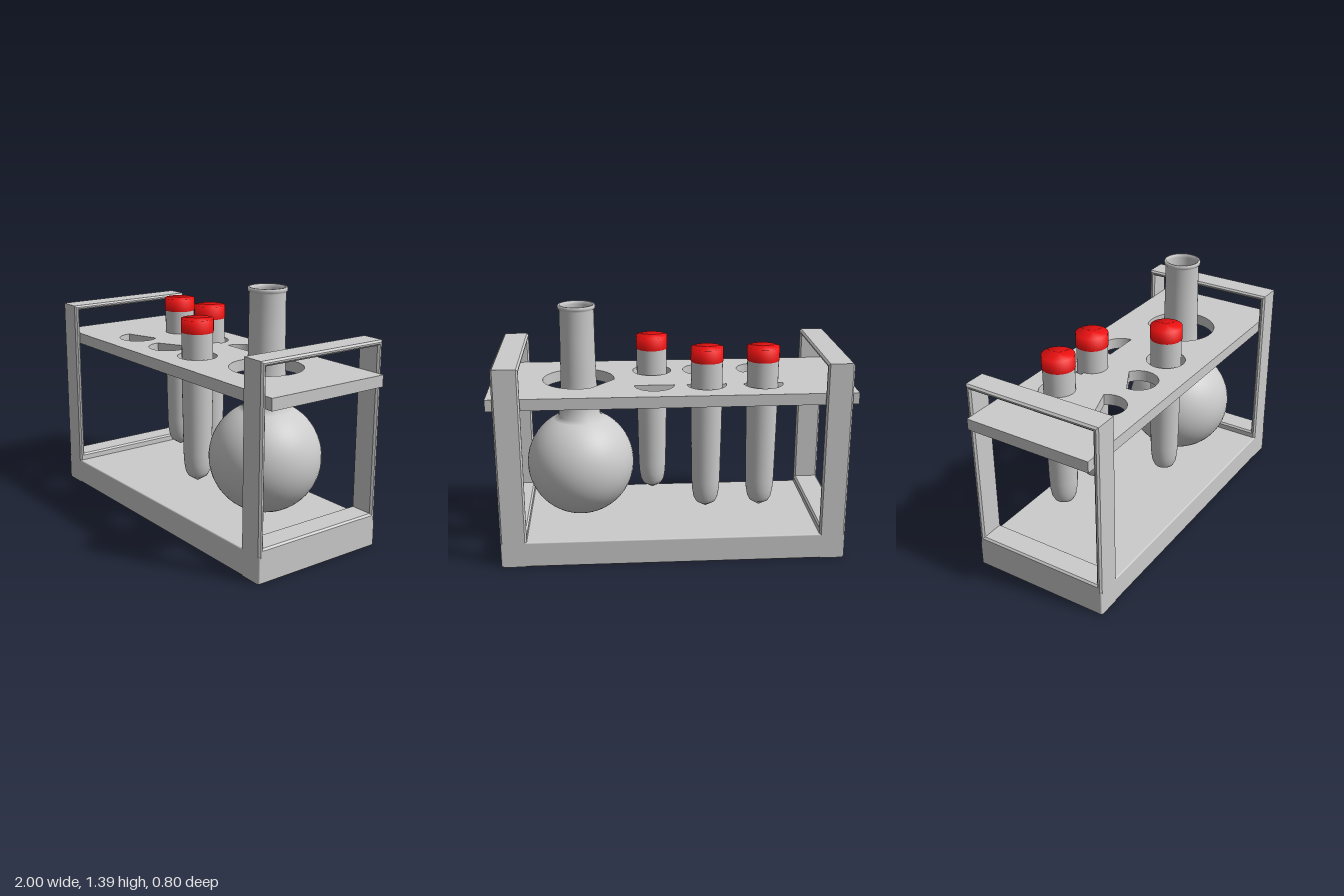
import * as THREE from 'three';
import { RoundedBoxGeometry } from 'three/addons/geometries/RoundedBoxGeometry.js';

const grey = new THREE.MeshStandardMaterial({ color: 0xcccccc });
const glass = new THREE.MeshStandardMaterial({ color: 0xcccccc, side: THREE.DoubleSide });
const red = new THREE.MeshStandardMaterial({ color: 0xee1111 });

function add(parent, name, geometry, material, x = 0, y = 0, z = 0) {
  const mesh = new THREE.Mesh(geometry, material);
  mesh.name = name;
  mesh.position.set(x, y, z);
  parent.add(mesh);
  return mesh;
}

function rectangle(Type, x0, y0, x1, y1) {
  const p = new Type();
  p.moveTo(x0, y0);
  p.lineTo(x1, y0);
  p.lineTo(x1, y1);
  p.lineTo(x0, y1);
  p.closePath();
  return p;
}

const lathe = (points, segments = 32) =>
  new THREE.LatheGeometry(points.map(([r, y]) => new THREE.Vector2(r, y)), segments);

// Bevelled rectangular frame at one end, its opening facing sideways
function endFrameGeometry() {
  const shape = rectangle(THREE.Shape, -0.4, 0, 0.4, 1.135);
  shape.holes.push(rectangle(THREE.Path, -0.37, 0.187, 0.37, 1.107));
  const geo = new THREE.ExtrudeGeometry(shape, {
    depth: 0.125, bevelThickness: 0.01, bevelSize: 0.01, bevelOffset: -0.01, bevelSegments: 1,
  });
  return geo.translate(0, 0, -0.0625).rotateY(Math.PI / 2);
}

// Shelf with part-circle openings: [x, z, radius, start angle, end angle]
function shelfGeometry() {
  const shape = rectangle(THREE.Shape, -1, -0.37, 1, 0.37);
  const openings = [
    [-0.51, -0.155, 0.11, 0, 180],
    [-0.195, -0.155, 0.11, 0, 180],
    [0.095, -0.155, 0.11, 0, 180],
    [-0.51, 0.145, 0.11, 177, 400],
    [-0.195, 0.145, 0.11, 177, 420],
    [0.095, 0.145, 0.11, 0, 360],
    [0.515, 0, 0.2, 172, 470],
  ];
  for (const [x, z, r, a, b] of openings) {
    const hole = new THREE.Path();
    hole.absarc(x, -z, r, THREE.MathUtils.degToRad(a), THREE.MathUtils.degToRad(b), false);
    hole.closePath();
    shape.holes.push(hole);
  }
  const geo = new THREE.ExtrudeGeometry(shape, { depth: 0.064, bevelEnabled: false, curveSegments: 24 });
  return geo.rotateX(-Math.PI / 2);
}

// Round-bottomed flask: bulb, flared neck, lip and inner wall
function flaskGeometry() {
  const points = [[0, 0.165]];
  const bulb = (r, from, to) => {
    for (let i = 0; i <= 24; i++) {
      const a = from + ((to - from) * i) / 24;
      points.push([r * Math.sin(a), 0.47 - r * Math.cos(a)]);
    }
  };
  bulb(0.305, 0.12, Math.PI - 0.4);
  points.push([0.112, 0.82], [0.104, 0.9], [0.1, 0.98], [0.097, 1.18], [0.096, 1.362]);
  points.push([0.104, 1.37], [0.105, 1.382], [0.101, 1.39], [0.092, 1.39], [0.087, 1.37]);
  points.push([0.088, 0.98], [0.1, 0.8]);
  bulb(0.285, Math.PI - 0.38, 0);
  return lathe(points, 48);
}

export function createModel() {
  const model = new THREE.Group();
  model.name = 'testTubeRack';

  // Rack
  const rack = new THREE.Group();
  rack.name = 'rack';
  model.add(rack);
  add(rack, 'base', new RoundedBoxGeometry(1.92, 0.147, 0.8, 2, 0.008), grey, 0, 0.0735, 0);
  const endFrame = endFrameGeometry();
  add(rack, 'leftEndFrame', endFrame, grey, 0.8875);
  add(rack, 'rightEndFrame', endFrame, grey, -0.8875);
  add(rack, 'shelf', shelfGeometry(), grey, 0, 0.9, 0);

  // Stoppered tubes
  const tubeGeo = lathe([
    [0, 0.235], [0.055, 0.27], [0.068, 0.295], [0.076, 0.34], [0.08, 0.4], [0.086, 0.75], [0.087, 1.1],
  ]);
  const capGeo = lathe([[0, 1.1], [0.09, 1.1], [0.09, 1.1], [0.09, 1.175], [0, 1.175]]);
  [[-0.505, -0.155], [-0.195, -0.155], [0.095, 0.145]].forEach(([x, z], i) => {
    const tube = new THREE.Group();
    tube.name = `testTube${i + 1}`;
    tube.position.set(x, 0, z);
    model.add(tube);
    add(tube, 'tubeBody', tubeGeo, glass);
    add(tube, 'stopper', capGeo, red);
  });

  // Flask
  add(model, 'flask', flaskGeometry(), glass, 0.515, 0, 0);
  return model;
}
